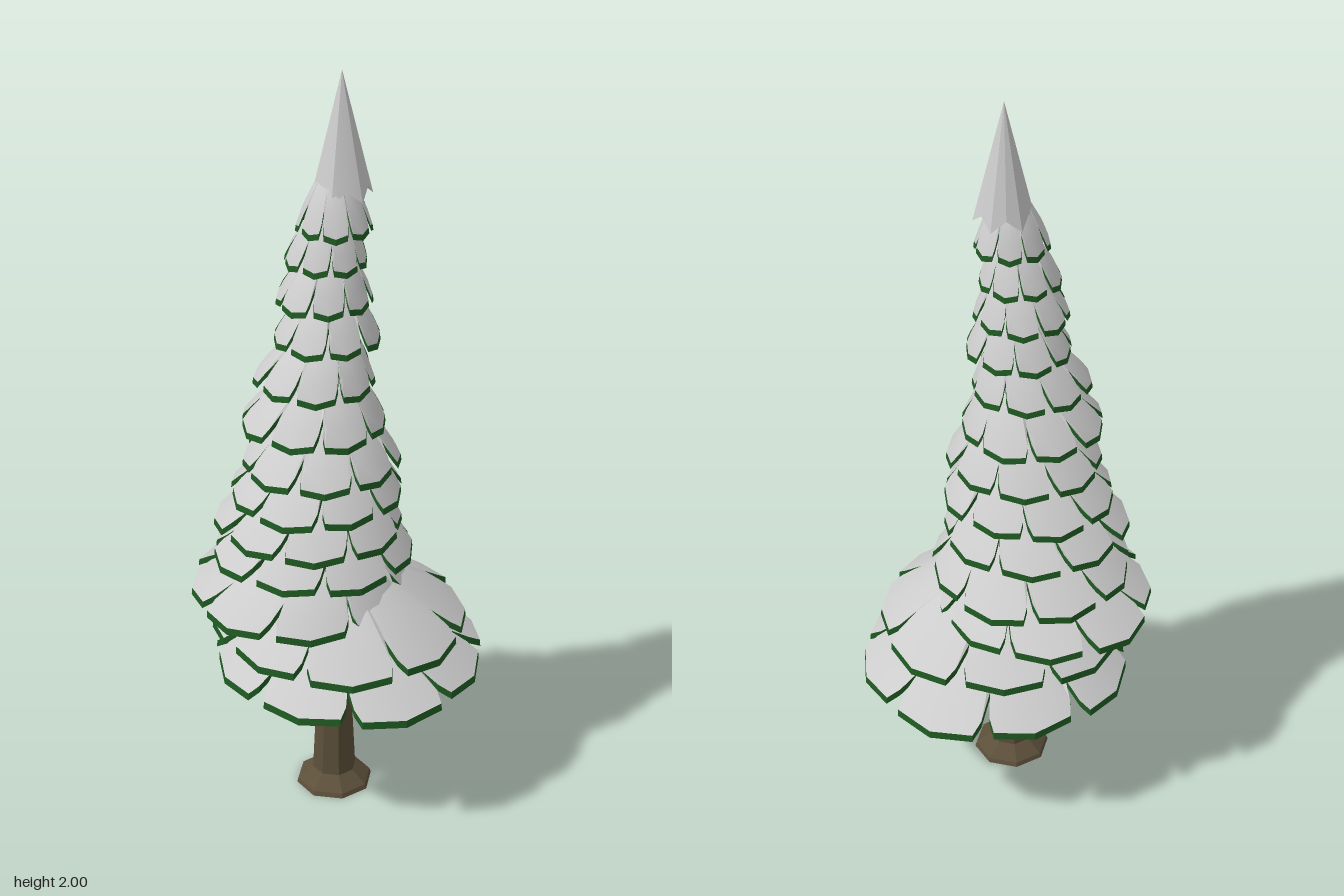
import * as THREE from 'three';
import { toCreasedNormals } from 'three/addons/utils/BufferGeometryUtils.js';

const snow = new THREE.MeshStandardMaterial({ color: 0xcccccc });
const needles = new THREE.MeshStandardMaterial({ color: 0x1f5a22 });
const bark = new THREE.MeshStandardMaterial({ color: 0x5c4f3a, flatShading: true });

const TRUNK_X = 0, TRUNK_Z = 0.055;
const PETALS = 8;
// one petal: [position across the petal, rim radius factor, extra droop at the rim]
const PETAL = [[0, 0.76, 0], [0.04, 0.91, 0], [0.1, 0.99, 0.002], [0.5, 1.015, 0.004], [0.9, 0.99, 0.002], [0.96, 0.91, 0]];

// Branch tiers: rim height, rim centre x and z, rim radius, turn in degrees
const TIERS = [
  [0.39, 0.03, 0.0, 0.35, 10], [0.512, 0.01, 0.03, 0.325, 37], [0.602, -0.1, 0.03, 0.28, 39],
  [0.713, -0.065, 0.01, 0.255, 15], [0.815, -0.065, 0.05, 0.235, 35], [0.908, -0.05, 0.06, 0.215, 12],
  [1.003, -0.035, 0.075, 0.195, 36], [1.112, -0.05, 0.075, 0.178, 14], [1.227, -0.045, 0.08, 0.147, 33],
  [1.337, -0.02, 0.065, 0.129, 10], [1.437, -0.027, 0.063, 0.116, 38], [1.537, -0.022, 0.058, 0.099, 16],
  [1.627, 0.0, 0.064, 0.09, 34],
];

// Skin closed rings of points, each ring counter-clockwise from above
function skin(rings) {
  const n = rings[0].length, pos = [], index = [];
  rings.forEach((ring) => ring.forEach((p) => pos.push(p.x, p.y, p.z)));
  for (let i = 0; i < rings.length - 1; i++) {
    for (let j = 0; j < n; j++) {
      const k = (j + 1) % n, a = i * n + j, b = a + n, c = (i + 1) * n + k, d = i * n + k;
      index.push(a, b, c, a, c, d);
    }
  }
  const g = new THREE.BufferGeometry();
  g.setAttribute('position', new THREE.Float32BufferAttribute(pos, 3));
  g.setIndex(index);
  return toCreasedNormals(g, 0.35);
}

// A scalloped umbrella: snow on top, green edge and underside
function makeTier([rimY, cx, cz, R, turn], i) {
  const height = 0.12 + 0.22 * R;
  const bulge = 2.1 - 2.4 * R; // small tiers are bell shaped, wide ones nearly conical
  const phase = THREE.MathUtils.degToRad(turn);
  const thick = 0.013 + 0.02 * R;

  // ring at a fraction of the radius; rim rings follow the petal outline
  function ring(f, drop, { rim = false, grow = 0 } = {}) {
    const pts = [];
    for (let p = 0; p < PETALS; p++) {
      const wobble = 1 + 0.025 * Math.sin(p * 2.4 + i * 1.7);
      for (const [t, edge, droop] of PETAL) {
        const k = rim ? f * edge : f;
        const a = phase + ((p + t) / PETALS) * Math.PI * 2;
        const r = R * k * wobble + grow;
        // the centre drifts from the trunk to the rim centre
        const x = THREE.MathUtils.lerp(TRUNK_X, cx, k), z = THREE.MathUtils.lerp(TRUNK_Z, cz, k);
        const y = rimY + height * (1 - k ** bulge) - (rim && f === 1 ? droop : 0) - drop;
        pts.push(new THREE.Vector3(x + r * Math.cos(a), y, z - r * Math.sin(a)));
      }
    }
    return pts;
  }
  const dome = (drop) => [ring(0.06, drop), ring(0.3, drop), ring(0.55, drop), ring(0.86, drop, { rim: true })];

  const tier = new THREE.Group();
  tier.name = `branchTier${i + 1}`;
  const top = new THREE.Mesh(skin([...dome(0), ring(1, 0, { rim: true })]), snow);
  top.name = 'snowCover';
  const under = new THREE.Mesh(skin([
    ring(1, 0, { rim: true }), ring(1, thick, { rim: true, grow: 0.002 }), ...dome(thick).reverse(),
  ]), needles);
  under.name = 'greenUnderside';
  tier.add(top, under);
  return tier;
}

// Pointed cap with a zigzag hem
function makeCap() {
  const sides = 6, apex = [], hem = [], inner = [];
  for (let j = 0; j < sides * 2; j++) {
    const a = 0.35 + (j / (sides * 2)) * Math.PI * 2, corner = j % 2 === 0;
    const r = corner ? 0.075 : 0.065;
    apex.push(new THREE.Vector3(0.015, 2, 0.05));
    hem.push(new THREE.Vector3(0.015 + r * Math.cos(a), corner ? 1.69 : 1.72, 0.047 - r * Math.sin(a)));
    inner.push(new THREE.Vector3(0.015, 1.76, 0.05));
  }
  const cap = new THREE.Mesh(skin([apex, hem, inner]), snow);
  cap.name = 'snowyTip';
  return cap;
}

export function createModel() {
  const tree = new THREE.Group();
  tree.name = 'snowyTree';

  // Trunk with flared foot
  const profile = [[0, 0], [0.102, 0], [0.098, 0.012], [0.058, 0.045], [0.04, 0.42], [0.012, 1.72], [0, 1.72]];
  const trunk = new THREE.Mesh(
    new THREE.LatheGeometry(profile.map(([r, y]) => new THREE.Vector2(r, y)), 8, Math.PI / 8), bark);
  trunk.position.set(TRUNK_X - 0.004, 0, TRUNK_Z);
  trunk.name = 'trunk';
  tree.add(trunk);

  TIERS.forEach((t, i) => tree.add(makeTier(t, i)));
  tree.add(makeCap());
  return tree;
}
